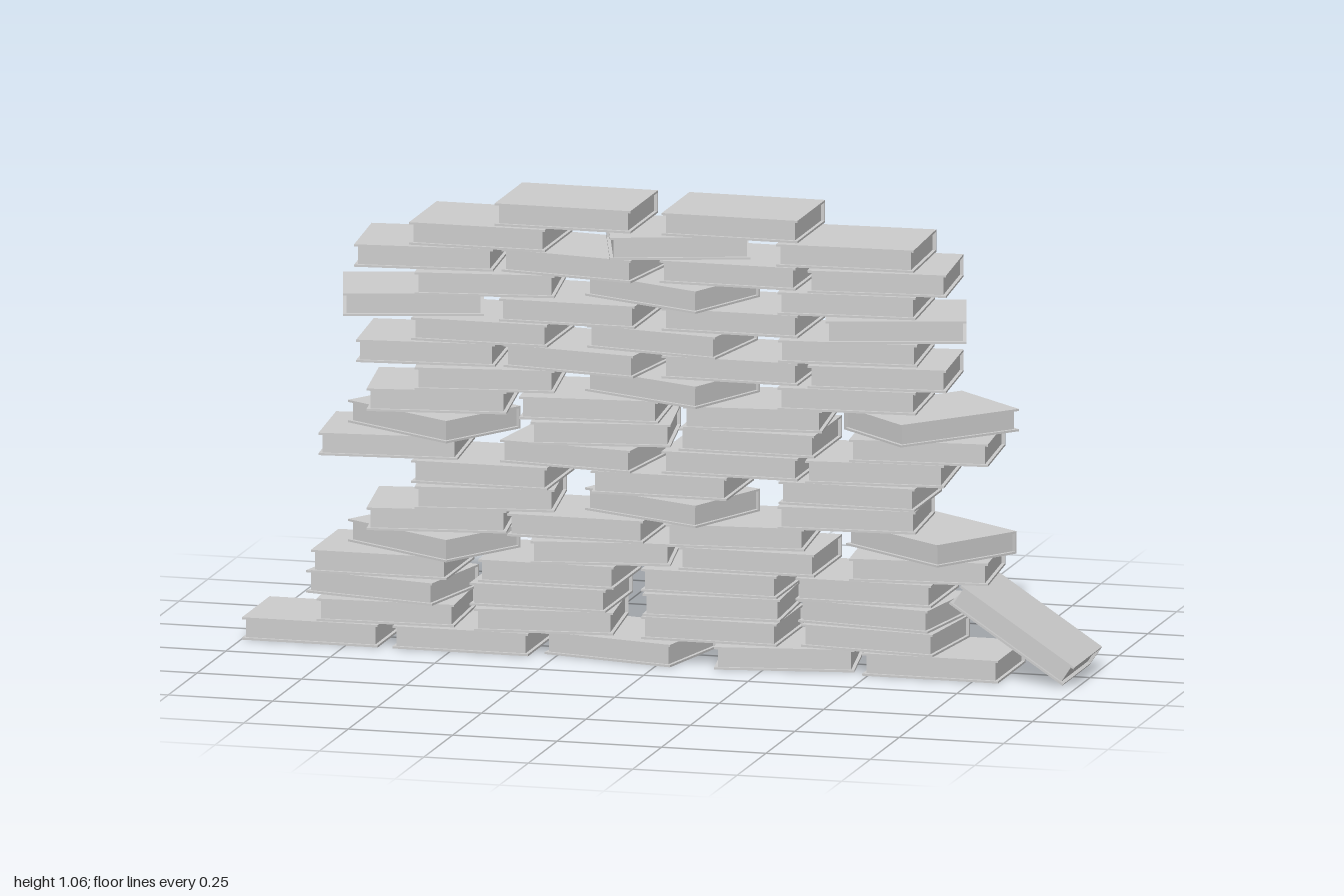
import * as THREE from 'three';

const LENGTH = 0.325, DEPTH = 0.24, THICK = 0.053, COVER = 0.005, INSET = 0.008;
const PITCH = 0.0562;

const material = new THREE.MeshStandardMaterial({ color: 0xcccccc, flatShading: true });

function addBox(parent, name, size, pos) {
  const mesh = new THREE.Mesh(new THREE.BoxGeometry(...size), material);
  mesh.name = name;
  mesh.position.set(...pos);
  parent.add(mesh);
}

// One closed book lying flat, centred, spine towards the back
function makeBook(name) {
  const book = new THREE.Group();
  book.name = name;
  const inner = THICK - 2 * COVER;
  for (const s of [1, -1]) {
    addBox(book, s > 0 ? 'topCover' : 'bottomCover', [LENGTH, COVER, DEPTH], [0, s * (THICK - COVER) / 2, 0]);
  }
  addBox(book, 'spine', [LENGTH, inner, COVER], [0, 0, (COVER - DEPTH) / 2]);
  addBox(book, 'pages', [LENGTH - 2 * INSET, inner, DEPTH - COVER - INSET], [0, 0, (COVER - INSET) / 2]);
  return book;
}

// Layers from the bottom up: [x, turn about the vertical] for each book
const twisted = [[-0.57, -0.53], [-0.16, 0.17], [0.21, 0], [0.61, 0.1]];
const staggered = [[-0.435, 0.15], [0, -0.4], [0.44, 0.08]];
const layers = [
  [[-0.835, 0], [-0.475, 0], [-0.1, -0.2], [0.28, 0.17], [0.65, 0]],
  [[-0.66, 0.05], [-0.29, 0.12], [0.12, 0], [0.51, -0.1]],
  [[-0.67, -0.2], [-0.29, 0], [0.12, 0.05], [0.505, -0.14]],
  [[-0.67, 0], [-0.27, 0], [0.12, 0], [0.49, 0]],
  twisted,
  [[-0.55, 0.15], [-0.2, 0], [0.17, 0.1], [0.62, -0.6]],
  staggered,
  [[-0.43, 0], [0, 0], [0.45, 0]],
  [[-0.66, 0.1], [-0.21, -0.12], [0.17, 0], [0.505, 0.1]],
  twisted,
  [[-0.55, 0.15], [-0.18, 0.1], [0.21, 0.12], [0.62, 0.85]],
  staggered,
  [[-0.57, 0.1], [-0.2, -0.14], [0.17, 0], [0.51, 0.1]],
  [[-0.43, 0], [0, -0.16], [0.44, 0.1]],
  [[-0.62, 0.27], [-0.22, 0], [0.17, 0], [0.535, 0.27]],
  staggered,
  [[-0.575, 0.1], [-0.205, -0.14], [0.165, 0], [0.51, 0.1]],
  [[-0.435, 0], [0.015, 0.3], [0.44, 0.05]],
  [[-0.23, 0], [0.17, 0]],
];

export function createModel() {
  const model = new THREE.Group();
  model.name = 'bookWall';

  // Stacked layers
  layers.forEach((books, i) => {
    const layer = new THREE.Group();
    layer.name = `layer${i + 1}`;
    layer.position.y = THICK / 2 + i * PITCH;
    for (const [x, turn] of books) {
      const book = makeBook('book');
      book.position.x = x;
      book.rotation.y = turn;
      layer.add(book);
    }
    model.add(layer);
  });

  // Book leaning against the right end of the wall
  const leaning = makeBook('leaningBook');
  leaning.position.set(0.845, 0.115, 0);
  leaning.rotation.z = -0.58;
  model.add(leaning);

  return model;
}
